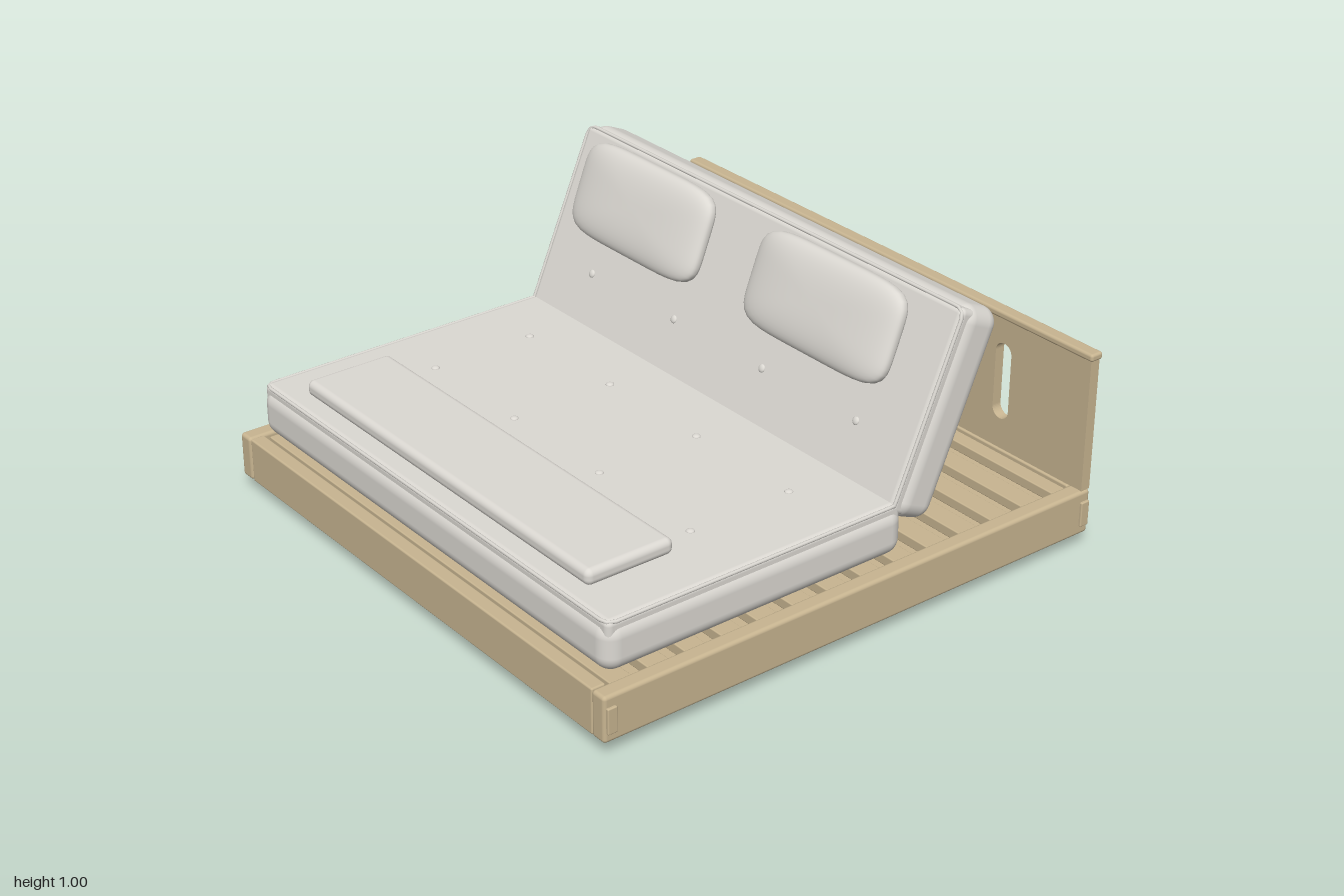
import * as THREE from 'three';
import { RoundedBoxGeometry } from 'three/addons/geometries/RoundedBoxGeometry.js';
import { mergeVertices } from 'three/addons/utils/BufferGeometryUtils.js';

export function createModel() {
  const wood = new THREE.MeshStandardMaterial({ color: 0xc8b591 });
  wood.name = 'light wood';
  const fabric = new THREE.MeshStandardMaterial({ color: 0xdcd9d3 });
  fabric.name = 'pale grey fabric';

  const model = new THREE.Group();
  model.name = 'sofaBed';

  const add = (parent, name, geometry, material, x = 0, y = 0, z = 0) => {
    const mesh = new THREE.Mesh(geometry, material);
    mesh.name = name;
    mesh.position.set(x, y, z);
    parent.add(mesh);
    return mesh;
  };
  // Box given by its minimum and maximum corners, rounded when r > 0
  const block = (parent, name, material, [x0, y0, z0], [x1, y1, z1], r = 0) => {
    const size = [x1 - x0, y1 - y0, z1 - z0];
    const geometry = r ? new RoundedBoxGeometry(...size, 4, r) : new THREE.BoxGeometry(...size);
    return add(parent, name, geometry, material, (x0 + x1) / 2, (y0 + y1) / 2, (z0 + z1) / 2);
  };

  // Bed frame: plinth, rails and through tenons
  const frame = new THREE.Group();
  frame.name = 'bedFrame';
  model.add(frame);
  block(frame, 'plinth', wood, [-0.907, 0, -0.93], [0.907, 0.14, 0.885]);
  block(frame, 'frontRail', wood, [-0.93, 0.05, 0.91], [0.93, 0.205, 0.96], 0.006);
  block(frame, 'backRail', wood, [-0.93, 0.05, -0.96], [0.93, 0.205, -0.92], 0.006);
  for (const s of [-1, 1]) {
    const side = s > 0 ? 'left' : 'right';
    const cx = s * 0.961;
    block(frame, side + 'SideRail', wood, [cx - 0.03, 0.05, -0.963], [cx + 0.03, 0.206, 0.963], 0.012);
    for (const z of [-0.938, 0.938]) {
      block(frame, side + 'Tenon', wood, [s * 0.985 - 0.015, 0.083, z - 0.017], [s * 0.985 + 0.015, 0.17, z + 0.017], 0.004);
    }
  }

  // Slats across the frame
  for (let i = 0; i < 14; i++) {
    const z = -0.905 + i * 0.135;
    block(frame, 'slat', wood, [-0.932, 0.155, z - 0.038], [0.932, 0.19, z + 0.038], 0.004);
  }

  // Headboard with four upright slots and a top cap
  const board = new THREE.Shape();
  board.moveTo(-0.985, 0.205).lineTo(0.985, 0.205).lineTo(0.985, 0.67).lineTo(-0.985, 0.67).closePath();
  for (const x of [-0.61, -0.203, 0.203, 0.61]) {
    const slot = new THREE.Path();
    slot.absarc(x, 0.545, 0.035, 0, Math.PI);
    slot.absarc(x, 0.345, 0.035, Math.PI, Math.PI * 2);
    slot.closePath();
    board.holes.push(slot);
  }
  const boardGeometry = new THREE.ExtrudeGeometry(board, { depth: 0.036, bevelEnabled: false, curveSegments: 12 });
  add(frame, 'headboard', boardGeometry, wood, 0, 0, -0.964);
  block(frame, 'headboardCap', wood, [-0.993, 0.664, -0.97], [0.993, 0.69, -0.921], 0.009);

  // Closed piping cord following a rounded rectangle in the xz plane
  const piping = (hw, hl, r) => {
    const points = [];
    const corners = [[1, 1], [-1, 1], [-1, -1], [1, -1]];
    corners.forEach(([sx, sz], q) => {
      for (let i = 0; i <= 4; i++) {
        const a = (q + i / 4) * Math.PI / 2;
        points.push(new THREE.Vector3(sx * (hw - r) + r * Math.cos(a), 0, sz * (hl - r) + r * Math.sin(a)));
      }
    });
    const path = new THREE.CurvePath();
    points.forEach((p, i) => path.add(new THREE.LineCurve3(p, points[(i + 1) % points.length])));
    return new THREE.TubeGeometry(path, 240, 0.006, 8, true);
  };

  // Mattress section: body, top panel, piping and tufting buttons; +y is the sitting face
  const mattress = (name, length, thick, buttonRows) => {
    const group = new THREE.Group();
    group.name = name;
    const h = thick / 2;
    const l = length / 2;
    add(group, name + 'Body', new RoundedBoxGeometry(1.87, thick, length, 6, 0.055), fabric);
    block(group, name + 'TopPanel', fabric, [-0.924, h - 0.06, 0.012 - l], [0.924, h + 0.01, l - 0.012], 0.02);
    add(group, name + 'Piping', piping(0.922, l - 0.014, 0.03), fabric, 0, h + 0.003, 0);
    for (const z of buttonRows) {
      for (const x of [-0.67, -0.224, 0.224, 0.67]) {
        const button = add(group, name + 'Button', new THREE.SphereGeometry(0.014, 16, 10), fabric, x, h + 0.01, z);
        button.scale.y = 0.5;
      }
    }
    model.add(group);
    return group;
  };
  mattress('seat', 1.13, 0.17, [-0.325, 0.055]).position.set(0, 0.3, 0.345);
  const back = mattress('backrest', 0.686, 0.168, [-0.11, 0.126]);
  back.position.set(0, 0.63, -0.38);
  back.rotation.x = THREE.MathUtils.degToRad(66.7);

  // Flat bolster lying on the front of the seat
  block(model, 'bolster', fabric, [-0.755, 0.402, 0.525], [0.755, 0.457, 0.84], 0.022);

  // Pillow: a sphere pushed out to a rounded rectangle with a full, soft profile
  const pillowGeometry = (hw, hh, ht) => {
    const sphere = new THREE.SphereGeometry(1, 64, 32).rotateX(Math.PI / 2);
    sphere.deleteAttribute('uv');
    sphere.deleteAttribute('normal');
    const norm = (a, b, n) => Math.pow(Math.abs(a) ** n + Math.abs(b) ** n, 1 / n);
    const p = sphere.attributes.position;
    for (let i = 0; i < p.count; i++) {
      const x = p.getX(i), y = p.getY(i), z = p.getZ(i);
      const r = Math.hypot(x, y);
      const profile = norm(r, z, 2.8);
      const outline = r > 1e-5 ? r / norm(x, y, 5.5) : 1;
      p.setXYZ(i, hw * x * outline / profile, hh * y * outline / profile, ht * z / profile);
    }
    const merged = mergeVertices(sphere, 1e-5);
    merged.computeVertexNormals();
    return merged;
  };
  const pillow = pillowGeometry(0.33, 0.162, 0.048);
  for (const s of [-1, 1]) {
    const mesh = add(model, s > 0 ? 'leftPillow' : 'rightPillow', pillow, fabric, s * 0.453, 0.843, -0.292);
    mesh.rotation.x = THREE.MathUtils.degToRad(-21);
  }

  return model;
}
